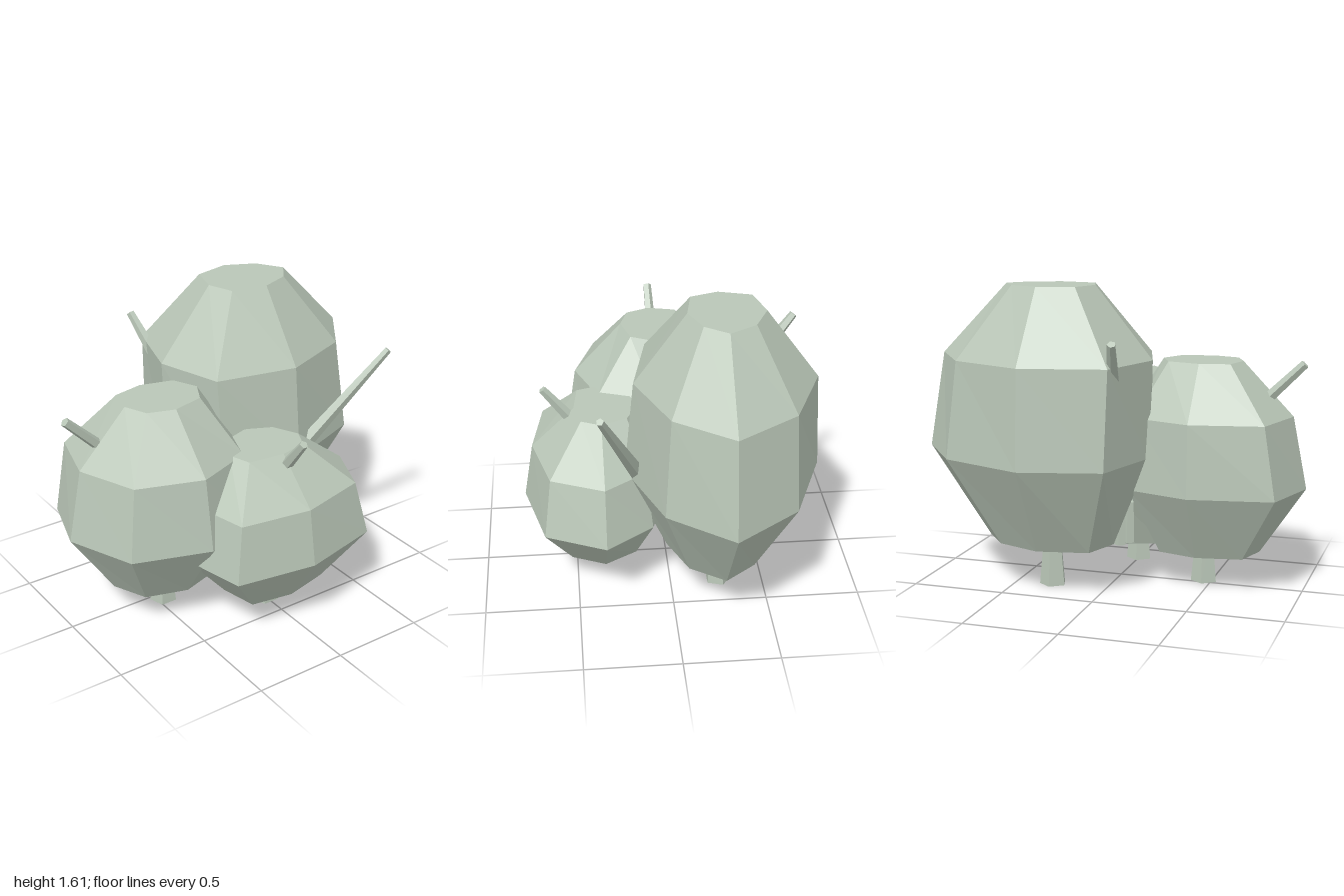
import * as THREE from 'three';

const sage = new THREE.MeshStandardMaterial({ color: 0xb9c6b7 });
sage.name = 'paleSage';
sage.flatShading = true;

// Eight points of a ring: four axis reaches, with a corner between each pair.
// The order runs +x, +z, -x, -z.
function ringPoints(cx, cz, [y, ...reach], corners) {
  const axis = reach.map((r, i) => {
    const turn = (i * Math.PI) / 2;
    return new THREE.Vector3(r * Math.cos(turn), 0, r * Math.sin(turn));
  });
  const centre = new THREE.Vector3(cx, y, cz);
  return axis.flatMap((p, i) => [
    p.clone().add(centre),
    p.clone().add(axis[(i + 1) % 4]).multiplyScalar(corners[i]).add(centre),
  ]);
}

// Tapered five-sided rod between two points
function rod(name, from, to, r0, r1) {
  const a = new THREE.Vector3(...from), b = new THREE.Vector3(...to);
  const dir = b.clone().sub(a);
  const geo = new THREE.CylinderGeometry(r1, r0, dir.length(), 5, 1, false, Math.PI);
  const mesh = new THREE.Mesh(geo, sage);
  mesh.name = name;
  mesh.position.copy(a).add(b).multiplyScalar(0.5);
  mesh.quaternion.setFromUnitVectors(new THREE.Vector3(0, 1, 0), dir.normalize());
  return mesh;
}

// Faceted lobe with flat caps, standing on a short stem
function lobe(name, x, z, corners, sections) {
  const rings = sections.map((s) => ringPoints(x, z, s, corners));
  const bottom = rings[0], top = rings[rings.length - 1];
  const bottomCentre = new THREE.Vector3(x, bottom[0].y, z);
  const topCentre = new THREE.Vector3(x, top[0].y, z);
  const points = [];
  for (let i = 0; i < 8; i++) {
    const j = (i + 1) % 8;
    for (let k = 0; k < rings.length - 1; k++) {
      const lower = rings[k], upper = rings[k + 1];
      points.push(lower[i], upper[i], upper[j], lower[i], upper[j], lower[j]);
    }
    points.push(bottomCentre, bottom[i], bottom[j], topCentre, top[j], top[i]);
  }
  const geo = new THREE.BufferGeometry().setFromPoints(points);
  geo.computeVertexNormals();
  const body = new THREE.Mesh(geo, sage);
  body.name = name;
  return [body, rod(name + 'Stem', [x, 0, z], [x, 0.3, z], 0.073, 0.046)];
}

export function createModel() {
  const group = new THREE.Group();
  group.name = 'bush';

  // Lobes; each section is a height, then the reach to +x, +z, -x and -z
  group.add(...lobe('tallLobe', 0.30, -0.26, [0.65, 0.8, 0.79, 0.65], [
    [0.245, 0.36, 0.28, 0.34, 0.25],
    [0.72, 0.70, 0.50, 0.53, 0.515],
    [1.23, 0.61, 0.45, 0.55, 0.49],
    [1.605, 0.245, 0.18, 0.245, 0.215],
  ]));
  group.add(...lobe('middleLobe', -0.46, 0.04, [0.73, 0.73, 0.81, 0.74], [
    [0.185, 0.28, 0.25, 0.30, 0.22],
    [0.545, 0.46, 0.49, 0.54, 0.415],
    [0.925, 0.42, 0.43, 0.465, 0.40],
    [1.205, 0.235, 0.17, 0.195, 0.18],
  ]));
  group.add(...lobe('lowLobe', 0, 0.35, [0.75, 0.84, 0.72, 0.68], [
    [0.145, 0.32, 0.235, 0.27, 0.25],
    [0.42, 0.58, 0.42, 0.51, 0.37],
    [0.72, 0.49, 0.37, 0.45, 0.32],
    [0.94, 0.20, 0.14, 0.235, 0.20],
  ]));

  // Twigs poking out of the foliage
  group.add(
    rod('frontTwig', [0, 0.76, 0.41], [0, 1.06, 0.65], 0.04, 0.022),
    rod('rightTwig', [-0.62, 0.85, 0.01], [-0.98, 1.205, 0.022], 0.036, 0.024),
    rod('leftTwig', [0.34, 0.71, 0.16], [0.77, 1.285, 0.375], 0.044, 0.02),
    rod('backTwig', [-0.12, 1.12, -0.5], [-0.172, 1.36, -0.70], 0.036, 0.022),
  );

  // Small root stubs tucked between the lobes
  for (const [x, z] of [[-0.05, -0.02], [0.01, 0], [-0.02, -0.08]]) {
    group.add(rod('rootStub', [x, 0.195, z], [x, 0.42, z], 0.035, 0.03));
  }
  return group;
}
